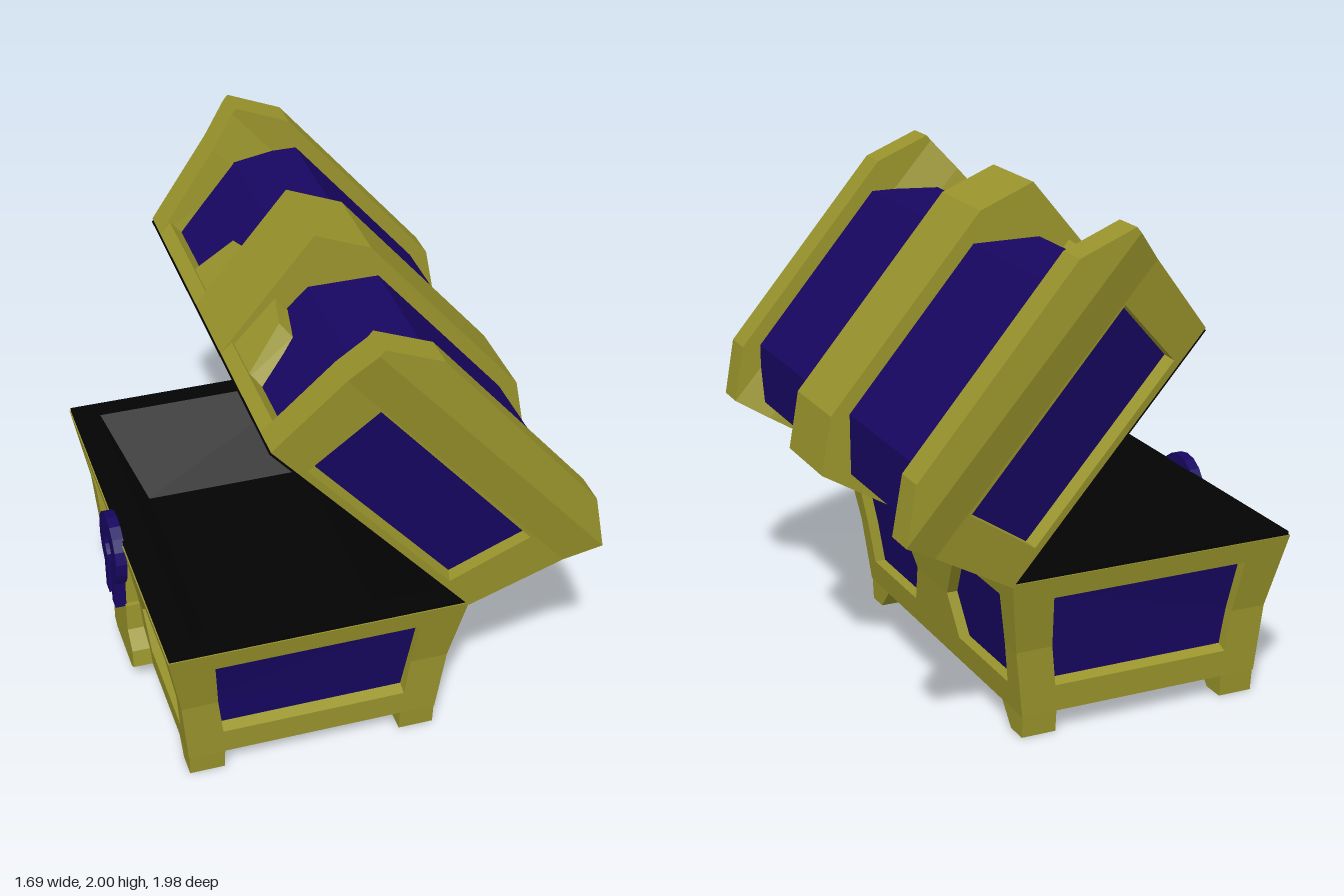
import * as THREE from 'three';

const GOLD = new THREE.MeshStandardMaterial({ color: 0x99942c, flatShading: true });
const PURPLE = new THREE.MeshStandardMaterial({ color: 0x170662, flatShading: true });
const BLACK = new THREE.MeshStandardMaterial({ color: 0x030303, flatShading: true, side: THREE.DoubleSide });

// counter-clockwise 2D points, so that holes are wound correctly by the extrusion
function ccw(points) {
  const pts = points.map(([a, b]) => new THREE.Vector2(a, b));
  return THREE.ShapeUtils.isClockWise(pts) ? pts.reverse() : pts;
}

// piecewise linear lookup through [key, value] pairs
function lerpTable(table, k) {
  let i = 0;
  while (i < table.length - 2 && k > table[i + 1][0]) i++;
  const [k0, v0] = table[i], [k1, v1] = table[i + 1];
  return v0 + (v1 - v0) * THREE.MathUtils.clamp((k - k0) / (k1 - k0), 0, 1);
}

// extrudes a 2D outline, then bends every vertex (a, b, t) by a rule; winding is kept outward
function plate(name, mat, outline, holes, t0, t1, rule) {
  const shape = new THREE.Shape(ccw(outline));
  for (const h of holes) shape.holes.push(new THREE.Path(ccw(h).reverse()));
  const geo = new THREE.ExtrudeGeometry(shape, { depth: t1 - t0, bevelEnabled: false });
  const p = geo.attributes.position;
  for (let i = 0; i < p.count; i++) p.setXYZ(i, ...rule(p.getX(i), p.getY(i), p.getZ(i) + t0));
  const a = new THREE.Vector3(), b = new THREE.Vector3(), c = new THREE.Vector3();
  let volume = 0;
  for (let i = 0; i < p.count; i += 3) {
    a.fromBufferAttribute(p, i);
    b.fromBufferAttribute(p, i + 1);
    c.fromBufferAttribute(p, i + 2);
    volume += a.dot(b.cross(c));
  }
  if (volume < 0) {
    for (let i = 0; i < p.count; i += 3) {
      b.fromBufferAttribute(p, i + 1);
      c.fromBufferAttribute(p, i + 2);
      p.setXYZ(i + 1, c.x, c.y, c.z);
      p.setXYZ(i + 2, b.x, b.y, b.z);
    }
  }
  geo.computeVertexNormals();
  const mesh = new THREE.Mesh(geo, mat);
  mesh.name = name;
  return mesh;
}

function box(name, mat, x0, x1, y0, y1, z0, z1) {
  const mesh = new THREE.Mesh(new THREE.BoxGeometry(x1 - x0, y1 - y0, z1 - z0), mat);
  mesh.position.set((x0 + x1) / 2, (y0 + y1) / 2, (z0 + z1) / 2);
  mesh.name = name;
  return mesh;
}

// lining made of rectangular rings [x0, x1, y, halfZ], closed at the last one
function lining(name, rings) {
  const pos = [], idx = [];
  for (const [x0, x1, y, z] of rings) pos.push(x0, y, z, x1, y, z, x1, y, -z, x0, y, -z);
  for (let r = 0; r < rings.length - 1; r++) {
    for (let i = 0; i < 4; i++) {
      const a = r * 4 + i, b = r * 4 + (i + 1) % 4;
      idx.push(a, b, b + 4, a, b + 4, a + 4);
    }
  }
  const e = rings.length * 4 - 4;
  idx.push(e, e + 1, e + 2, e, e + 2, e + 3);
  const geo = new THREE.BufferGeometry();
  geo.setAttribute('position', new THREE.Float32BufferAttribute(pos, 3));
  geo.setIndex(idx);
  const flat = geo.toNonIndexed();
  flat.computeVertexNormals();
  const mesh = new THREE.Mesh(flat, BLACK);
  mesh.name = name;
  return mesh;
}

function createBase() {
  const base = new THREE.Group();
  base.name = 'base';
  const BEND = 0.37, TOP = 0.68, BOTTOM = 0.09;
  const xL = (y) => lerpTable([[BOTTOM, -0.73], [BEND, -0.755], [TOP, -0.815]], y);
  const xR = (y) => lerpTable([[BOTTOM, 0.285], [BEND, 0.32], [TOP, 0.37]], y);
  const zO = (y) => lerpTable([[BOTTOM, 0.76], [BEND, 0.78], [TOP, 0.855]], y);

  // wall of two flat halves meeting at the bend, each notched around the panels;
  // a panel is given by its right and left edges at the bottom, bend and top
  function wall(name, lo, hi, panels, rule) {
    for (const [end, y, k] of [[BOTTOM, 0.2, 0], [TOP, 0.59, 2]]) {
      const notches = panels.flatMap((p) => [[p[1][0], BEND], [p[k][0], y], [p[k][1], y], [p[1][1], BEND]]);
      const outline = [[lo(end), end], [hi(end), end], [hi(BEND), BEND], ...notches, [lo(BEND), BEND]];
      base.add(plate(name + 'Wall', GOLD, outline, [], 0, 0.08, rule));
    }
    for (const [b, m, t] of panels) {
      const outline = [[b[0], 0.2], [m[0], BEND], [t[0], 0.59], [t[1], 0.59], [m[1], BEND], [b[1], 0.2]];
      base.add(plate(name + 'Panel', PURPLE, outline, [], 0.045, 0.07, rule));
    }
  }

  // end walls with one panel, whose lower ledge slopes
  const ledge = (y, t) => (y > 0.15 && y < 0.25 ? y + 0.35 * t : y);
  const endPanel = [[0.15, -0.59], [0.17, -0.61], [0.19, -0.63]];
  for (const s of [1, -1]) {
    wall('end', xL, xR, [endPanel], (a, y, t) => [a, ledge(y, t), s * (zO(y) - t)]);
  }

  // long walls with two pointed panels each
  const pointed = [[0.68, 0.23], [0.7, 0.16], [0.73, 0.31]];
  const mirrored = pointed.map(([r, l]) => [0.02 - l, 0.02 - r]);
  for (const s of [1, -1]) {
    wall('long', (y) => -zO(y), zO, [pointed, mirrored],
      (z, y, t) => [s > 0 ? xR(y) - t : xL(y) + t, y, z]);
  }

  base.add(box('floor', GOLD, -0.72, 0.275, 0.09, 0.13, -0.75, 0.75));
  // dark rim and tapering inside
  base.add(lining('baseLining', [
    [-0.81, 0.365, 0.675, 0.85], [-0.81, 0.365, 0.695, 0.85],
    [-0.7, 0.26, 0.695, 0.76], [-0.555, 0.14, 0.38, 0.53],
  ]));

  // feet, flared towards the middle
  const foot = [[0.75, 0], [0.76, 0.1], [0.56, 0.1], [0.575, 0.088], [0.655, 0]];
  for (const x of [-0.725, 0.14]) {
    for (const s of [1, -1]) {
      base.add(plate('foot', GOLD, foot, [], 0, 0.142, (z, y, t) => [x + t, y, s * z]));
    }
  }

  // latch plate
  const half = [[0.13, 0.07], [0.17, 0.095], [0.16, 0.17], [0.09, 0.23], [0.085, 0.35]];
  const latch = [...half, ...half.map(([z, y]) => [-z, y]).reverse()];
  base.add(plate('latchPlate', GOLD, latch, [], 0, 0.09, (z, y, t) => [-0.81 + t, y, z + 0.015]));
  base.add(box('latchStem', GOLD, -0.808, -0.74, 0.34, 0.66, -0.07, 0.08));

  // keyhole-shaped clasp ring with a slit at the bottom
  const ring = [], cy = 0.59;
  const arc = (r, from, to) => {
    for (let i = 0; i <= 14; i++) {
      const a = THREE.MathUtils.degToRad(from + ((to - from) * i) / 14);
      ring.push([r * Math.cos(a), cy + r * Math.sin(a)]);
    }
  };
  arc(0.15, -55, 235);
  ring.push([-0.08, 0.34], [-0.025, 0.34]);
  arc(0.06, 245, -65);
  ring.push([0.025, 0.34], [0.08, 0.34]);
  base.add(plate('claspRing', PURPLE, ring, [], 0, 0.045, (z, y, t) => [-0.85 + t, y, z + 0.005]));
  return base;
}

function createLid() {
  // local frame: hinge at the origin, rim along -x, y out of the rim
  const lid = new THREE.Group();
  lid.name = 'lid';
  const outer = [[0, 0], [-0.1, 0.54], [0.1, 0.66], [1.06, 0.675], [1.274, 0.568], [1.183, 0]];
  const body = [[0.03, 0], [-0.03, 0.445], [0.15, 0.603], [0.947, 0.615], [1.13, 0.407], [1.11, 0]];
  const inner = [[0.065, 0], [0.02, 0.425], [0.18, 0.56], [0.92, 0.57], [1.085, 0.39], [1.075, 0]];
  const arch = (a, b) => [...a, ...[...b].reverse()];
  const zO = (v) => lerpTable([[0, 0.855], [0.39, 0.935], [0.54, 0.99], [0.7, 0.99]], v);

  // purple barrel between the bands
  lid.add(plate('lidBody', PURPLE, arch(body, inner), [], -1, 1, (u, v, t) => [-u, v, t * (zO(v) - 0.1)]));

  // end bands in three flat tiers, the lowest with a recessed panel and a sloping ledge
  const hole = [[0.165, 0.03], [0.124, 0.375], [1.046, 0.382], [1.016, 0.03]];
  const back = [[0, 0], [-0.072, 0.39], [-0.1, 0.54]];
  const front = [[1.183, 0], [1.2455, 0.39], [1.2695, 0.54]];
  const ledge = (v, t) => (v > 0.01 && v < 0.1 ? v + 0.35 * t : v);
  for (const s of [1, -1]) {
    const rule = (u, v, t) => [-u, ledge(v, t), s * (zO(v) - t)];
    lid.add(plate('lidEndFrame', GOLD, [back[0], back[1], front[1], front[0]], [hole], 0, 0.13, rule));
    lid.add(plate('lidEndBand', GOLD, [back[1], back[2], front[2], front[1]], [], 0, 0.13, rule));
    lid.add(plate('lidEndCap', GOLD, [...outer.slice(1, 5), front[2]], [], 0, 0.13, rule));
    lid.add(plate('lidEndPanel', PURPLE, hole, [], 0.05, 0.12, rule));
  }

  lid.add(plate('lidCentreBand', GOLD, arch(outer, body), [], -0.165, 0.195, (u, v, t) => [-u, v, t]));

  // rim strips along hinge and opening sides
  lid.add(box('hingeRim', GOLD, -0.065, 0, 0, 0.06, -0.78, 0.78));
  lid.add(box('frontRim', GOLD, -1.183, -1.08, 0, 0.06, -0.78, 0.78));

  // gusset around the clasp on the opening side
  const half = [[0.42, 0.03], [0.33, 0.26], [0.19, 0.295]];
  const gusset = [...half, ...half.map(([z, v]) => [-z, v]).reverse()];
  lid.add(plate('claspGusset', GOLD, gusset, [], 0, 0.065,
    (z, v, t) => [-1.1 - t - v * 0.1, v, z * (1.04 - t * 1.5) + 0.015]));

  // dark rim and tapering inside
  lid.add(lining('lidLining', [
    [-1.178, -0.005, 0.01, 0.85], [-1.178, -0.005, -0.01, 0.85],
    [-1.07, -0.09, -0.01, 0.74], [-0.99, -0.17, 0.4, 0.62],
  ]));

  lid.position.set(0.37, 0.67, 0);
  lid.rotation.z = -0.851;
  return lid;
}

export function createModel() {
  const chest = new THREE.Group();
  chest.name = 'treasureChest';
  chest.add(createBase(), createLid());
  return chest;
}
